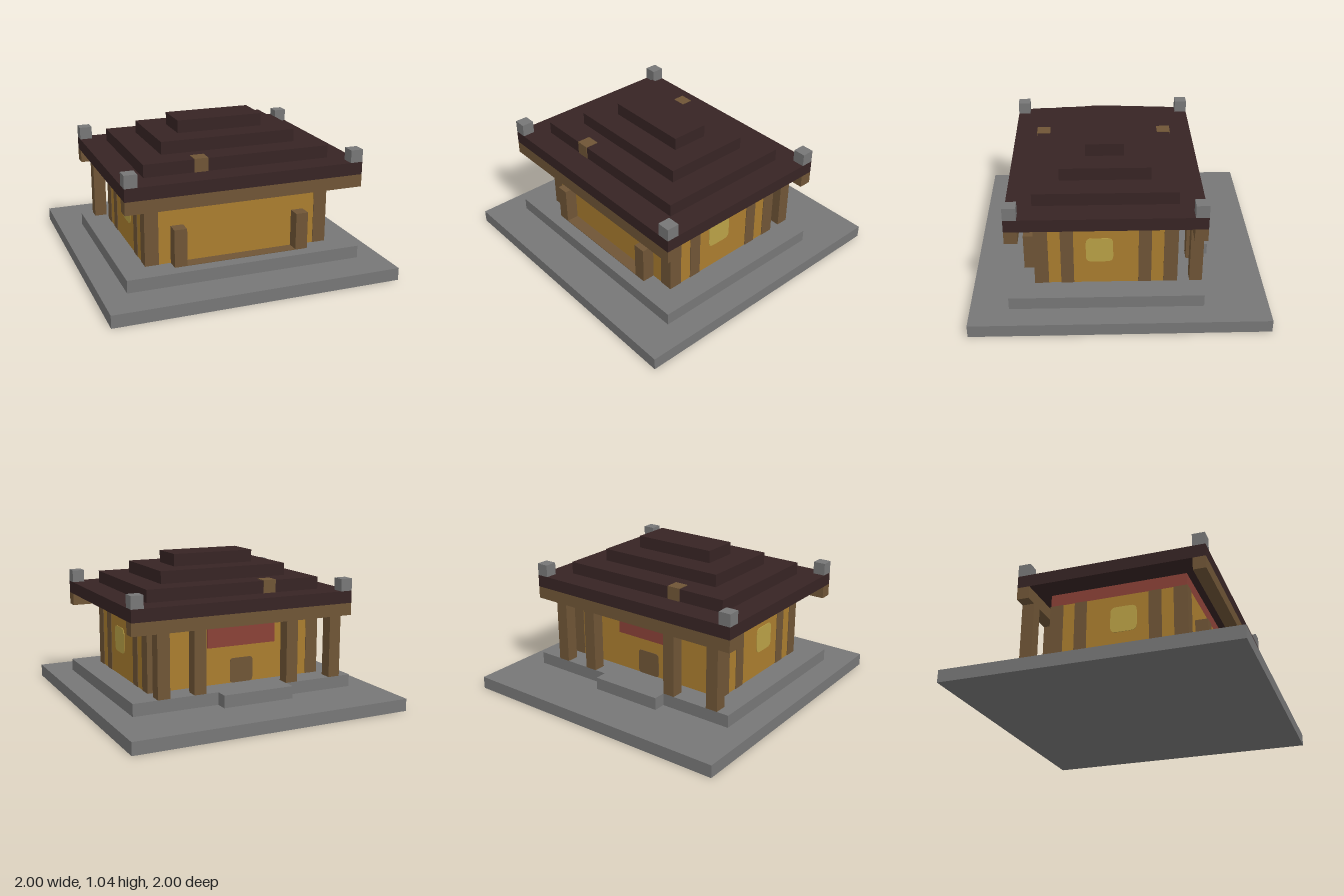
import * as THREE from 'three';

const U = 2 / 23;      // one block
const SKIN = 0.004;    // how far painted plates stand proud

export function createModel() {
  const root = new THREE.Group();
  const mat = (name, color) => {
    const m = new THREE.MeshStandardMaterial({ color });
    m.name = name;
    return m;
  };
  const stone = mat('grey stone', 0x777777);
  const wood = mat('brown wood', 0x6f5536);
  const plaster = mat('ochre plaster', 0xaa7d2f);
  const tile = mat('dark roof tile', 0x372424);
  const red = mat('red cloth', 0x8a4137);
  const pane = mat('pale window', 0xbaa146);

  // Box given by its block ranges, optionally grown by a small skin on every side
  function block(name, m, [x0, x1], [y0, y1], [z0, z1], grow = 0) {
    const g = new THREE.BoxGeometry(
      (x1 - x0) * U + 2 * grow, (y1 - y0) * U + 2 * grow, (z1 - z0) * U + 2 * grow);
    const mesh = new THREE.Mesh(g, m);
    mesh.name = name;
    mesh.position.set(((x0 + x1) / 2 - 11.5) * U, (y0 + y1) / 2 * U, ((z0 + z1) / 2 - 11.5) * U);
    root.add(mesh);
    return mesh;
  }

  // Thin rounded plate facing +z before it is turned into place
  function plate(name, m, w, h, r) {
    const a = w * U / 2, b = h * U / 2, s = new THREE.Shape();
    s.moveTo(-a + r, -b);
    s.lineTo(a - r, -b);
    s.quadraticCurveTo(a, -b, a, -b + r);
    s.lineTo(a, b - r);
    s.quadraticCurveTo(a, b, a - r, b);
    s.lineTo(-a + r, b);
    s.quadraticCurveTo(-a, b, -a, b - r);
    s.lineTo(-a, -b + r);
    s.quadraticCurveTo(-a, -b, -a + r, -b);
    const g = new THREE.ExtrudeGeometry(s, { depth: SKIN, bevelEnabled: false, curveSegments: 5 });
    const mesh = new THREE.Mesh(g, m);
    mesh.name = name;
    root.add(mesh);
    return mesh;
  }

  // Stone base, terrace and back step
  block('base', stone, [0, 23], [0, 1], [0, 23]);
  block('terrace', stone, [2, 21], [1, 2], [5, 20]);
  block('backStep', stone, [8, 14], [1, 2], [4, 5]);

  // Front porch floor and its two short posts
  block('porchFloor', wood, [7, 16], [2, 2.04], [18, 19]);
  for (const x of [6, 16]) block('shortPost', wood, [x, x + 1], [2, 5], [18, 19]);

  // House body and the red band under the eaves
  block('walls', plaster, [4, 19], [2, 7], [7, 18]);
  block('redBand', red, [4, 19], [7, 8], [7, 18]);

  // Timber pillars: corners and intermediate ones along both sides
  for (const x of [4, 18]) {
    for (const z of [7, 9, 15, 17]) {
      const p = block('wallPillar', wood, [x, x + 1], [2, 7], [z, z + 1]);
      p.scale.set(1 + 2 * SKIN / U, 1, 1 + (z === 7 || z === 17 ? 2 * SKIN / U : 0));
    }
  }

  // Side windows
  for (const side of [-1, 1]) {
    const w = plate('sideWindow', pane, 2.1, 2.1, 0.04);
    w.rotation.y = side * Math.PI / 2;
    w.position.set(side * 7.5 * U, 5 * U, 1.5 * U);
  }

  // Back doorway with the red hanging above it
  const door = plate('backDoor', wood, 2, 2, 0.025);
  door.rotation.y = Math.PI;
  door.position.set(-0.5 * U, 3 * U, -4.5 * U);
  block('redHanging', red, [8, 14], [5, 7], [6.95, 7]);

  // Veranda posts and the eave beams
  for (const x of [3, 7, 15, 18]) block('verandaPost', wood, [x, x + 1], [2, 7], [5, 6]);
  for (const z of [5, 19]) block('eaveBeam', wood, [2, 21], [7, 8], [z, z + 1]);

  // Stepped roof
  for (let i = 0; i < 4; i++) {
    const d = 2 * i;
    block('roofTier', tile, [2 + d, 21 - d], [8 + i, 9 + i], [5 + d, 20 - d]);
  }

  // Wooden blocks set in the second tier, front and back
  for (const z of [7, 17]) block('roofPeg', wood, [8, 9], [9, 10], [z, z + 1], SKIN);

  // Stone finials on the roof corners
  for (const x of [2, 20])
    for (const z of [5, 19]) block('cornerFinial', stone, [x, x + 1], [9, 10], [z, z + 1]);

  return root;
}
